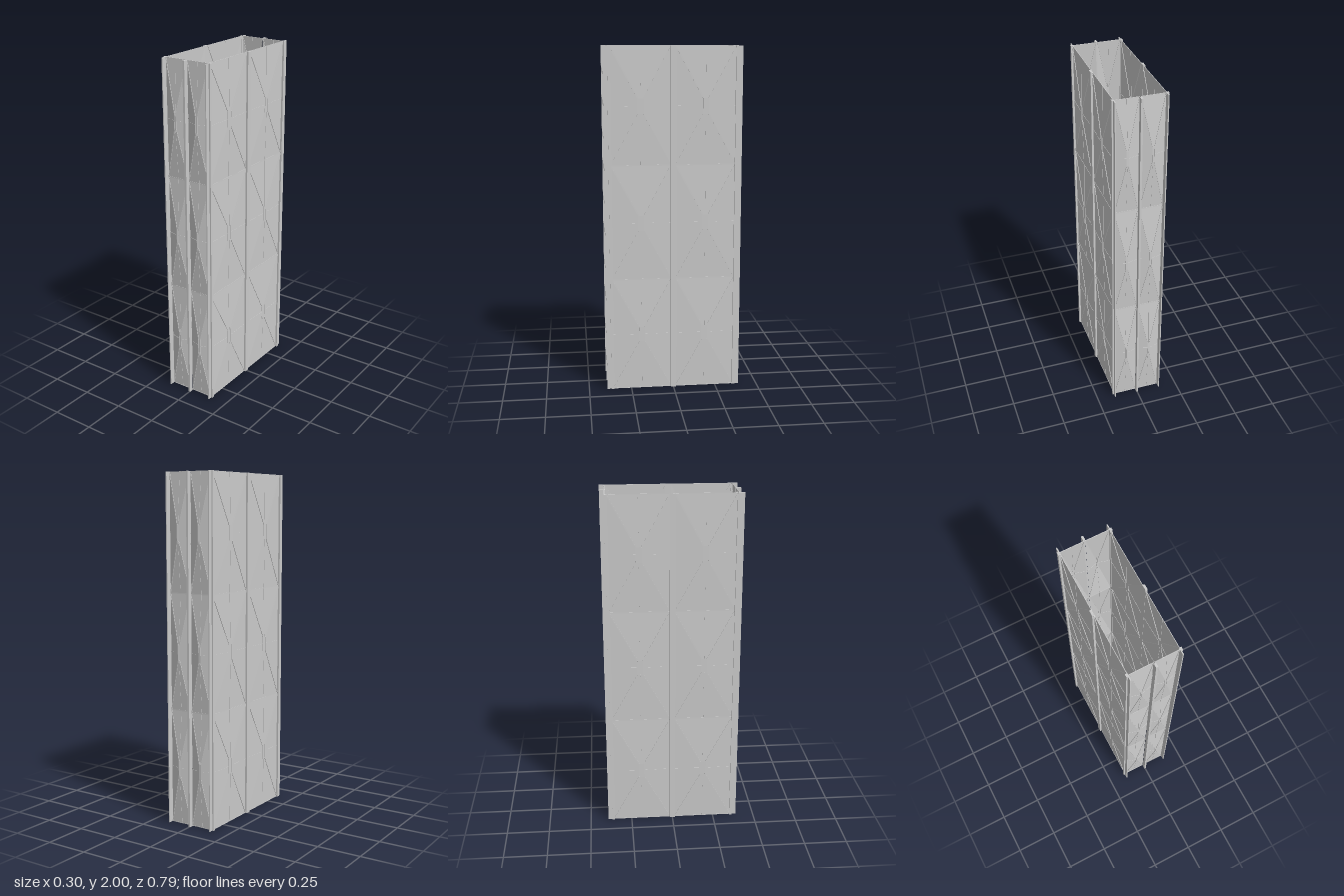
import * as THREE from 'three';

const HEIGHT = 2, MODULES = 3, MODULE_H = HEIGHT / MODULES;
const metal = new THREE.MeshStandardMaterial({ color: 0xcccccc, flatShading: true });
const sheet = new THREE.MeshStandardMaterial({ color: 0xcccccc, flatShading: true, side: THREE.DoubleSide });

function box(name, w, h, d, x, y, z) {
  const mesh = new THREE.Mesh(new THREE.BoxGeometry(w, h, d), metal);
  mesh.name = name;
  mesh.position.set(x, y, z);
  return mesh;
}

// Square bar between two points, kept upright relative to the wall
function bar(name, a, b, w, d) {
  const dir = b.clone().sub(a), length = dir.length();
  const y = dir.normalize();
  const x = new THREE.Vector3().crossVectors(y, new THREE.Vector3(0, 0, 1)).normalize();
  const z = new THREE.Vector3().crossVectors(x, y);
  const mesh = new THREE.Mesh(new THREE.BoxGeometry(w, length, d), metal);
  mesh.name = name;
  mesh.quaternion.setFromRotationMatrix(new THREE.Matrix4().makeBasis(x, y, z));
  mesh.position.copy(a).add(b).multiplyScalar(0.5);
  return mesh;
}

// Shallow pyramid panel with a small flat top, and the bars along its folds
function createBay({ half, tip, rise, rib }) {
  const bay = new THREE.Group();
  bay.name = 'facadeBay';
  const h = MODULE_H / 2, tipH = 0.043;
  const v = (x, y, z) => new THREE.Vector3(x, y, z);
  const signs = [[-1, -1], [1, -1], [1, 1], [-1, 1]];
  const outer = signs.map(([sx, sy]) => v(sx * half, sy * h, 0));
  const inner = signs.map(([sx, sy]) => v(sx * tip, sy * tipH, rise));

  const points = [];
  const quad = (a, b, c, d) => points.push(a, b, c, a, c, d);
  for (let i = 0; i < 4; i++) {
    const j = (i + 1) % 4;
    quad(outer[i], outer[j], inner[j], inner[i]);
  }
  quad(...inner);
  const geometry = new THREE.BufferGeometry().setFromPoints(points);
  geometry.computeVertexNormals();
  const panel = new THREE.Mesh(geometry, sheet);
  panel.name = 'glassPanel';
  bay.add(panel);

  // Diagonal ribs and the short uprights where they pinch together
  for (let i = 0; i < 4; i++) bay.add(bar('diagonalRib', outer[i], inner[i], rib, 0.006));
  bay.add(bar('pinchRib', inner[0], inner[3], rib, 0.006));
  bay.add(bar('pinchRib', inner[1], inner[2], rib, 0.006));

  // Thin mullions following the panel surface
  for (const s of [-1, 1]) {
    bay.add(bar('verticalMullion', v(0, s * h, 0), v(0, s * tipH, rise), 0.003, 0.003));
    bay.add(bar('horizontalMullion', v(s * half, 0, 0), v(s * tip, 0, rise), 0.003, 0.003));
    bay.add(bar('floorMullion', v(-half, s * (h - 0.0015), 0), v(half, s * (h - 0.0015), 0), 0.003, 0.003));
  }
  return bay;
}

// Two columns of bays
function createWall(name, spec) {
  const wall = new THREE.Group();
  wall.name = name;
  for (const s of [-1, 1]) {
    for (let i = 0; i < MODULES; i++) {
      const bay = createBay(spec);
      bay.position.set(s * spec.centre, (i + 0.5) * MODULE_H, spec.out);
      wall.add(bay);
    }
  }
  return wall;
}

export function createModel() {
  const model = new THREE.Group();
  model.name = 'towerFacade';
  const endSpec = { centre: 0.0705, half: 0.0665, tip: 0.005, rise: 0.018, rib: 0.003, out: 0.363 };
  const sideSpec = { centre: 0.185, half: 0.172, tip: 0.015, rise: 0.005, rib: 0.005, out: 0.141 };

  // Narrow end walls and broad side walls
  for (const s of [1, -1]) {
    const end = createWall(s > 0 ? 'frontWall' : 'backWall', endSpec);
    end.rotation.y = s > 0 ? 0 : Math.PI;
    const side = createWall(s > 0 ? 'leftWall' : 'rightWall', sideSpec);
    side.rotation.y = s * Math.PI / 2;
    model.add(end, side);

    // Central fins
    model.add(box('endFin', 0.012, HEIGHT, 0.024, 0, HEIGHT / 2, s * 0.381));
    model.add(box('sideFin', 0.012, HEIGHT, 0.032, s * 0.146, HEIGHT / 2, 0));

    // Corner posts with projecting fins
    for (const t of [1, -1]) {
      model.add(box('cornerPost', 0.014, HEIGHT, 0.016, s * 0.145, HEIGHT / 2, t * 0.361));
      model.add(box('cornerFin', 0.006, HEIGHT, 0.03, s * 0.141, HEIGHT / 2, t * 0.378));
    }
  }
  return model;
}
